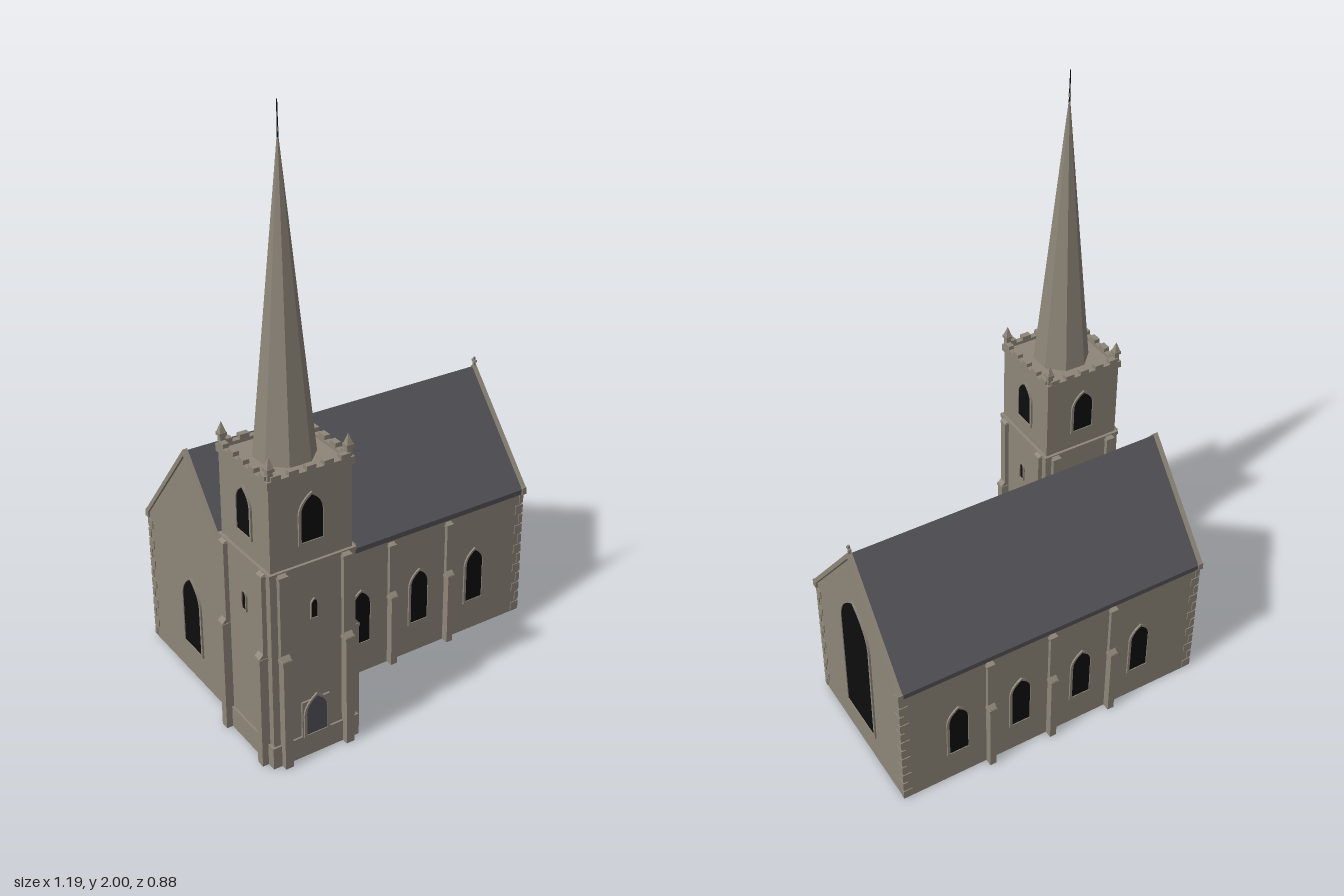
import * as THREE from 'three';

const material = (name, color) => {
  const m = new THREE.MeshStandardMaterial({ color });
  m.name = name;
  return m;
};

export function createModel() {
  const stone = material('stone', 0x8e8679);
  const slate = material('slate', 0x535258);
  const glass = material('dark glass', 0x0d0d0e);
  const doorPaint = material('door grey', 0x50515a);

  const model = new THREE.Group();
  model.name = 'church';

  const add = (parent, name, geometry, mat, x = 0, y = 0, z = 0) => {
    const mesh = new THREE.Mesh(geometry, mat);
    mesh.name = name;
    mesh.position.set(x, y, z);
    parent.add(mesh);
    return mesh;
  };
  // Box given by its base height and top height
  const block = (parent, name, x, z, w, d, y0, y1, mat = stone) =>
    add(parent, name, new THREE.BoxGeometry(w, y1 - y0, d), mat, x, (y0 + y1) / 2, z);
  const group = (parent, name, x = 0, z = 0, angle = 0) => {
    const g = new THREE.Group();
    g.name = name;
    g.position.set(x, 0, z);
    g.rotation.y = angle;
    parent.add(g);
    return g;
  };
  const extrude = (shape, depth) =>
    new THREE.ExtrudeGeometry(shape, { depth, bevelEnabled: false, curveSegments: 6 });
  const polygon = (points) => new THREE.Shape(points.map(([x, y]) => new THREE.Vector2(x, y)));
  // Faceted surface of revolution
  const faceted = (rTop, rBottom, h, sides) => {
    const g = new THREE.CylinderGeometry(rTop, rBottom, h, sides).rotateY(Math.PI / sides).toNonIndexed();
    g.computeVertexNormals();
    return g;
  };

  // Pointed arch outline, base at y0 and point at y1
  const arch = (w, y0, y1, PathType = THREE.Shape) => {
    const r = w / 2, spring = y1 - w * 0.72;
    const p = new PathType();
    p.moveTo(-r, y0);
    p.lineTo(r, y0);
    p.lineTo(r, spring);
    p.quadraticCurveTo(r * 0.95, spring + w * 0.42, 0, y1);
    p.quadraticCurveTo(-r * 0.95, spring + w * 0.42, -r, spring);
    p.closePath();
    return p;
  };
  // Arched opening with a thin stone surround, on a face pointing along +z
  const opening = (parent, name, x, z, w, y0, y1, mat = glass) => {
    add(parent, name, extrude(arch(w, y0, y1), 0.003), mat, x, 0, z);
    const rim = Math.min(0.009, w * 0.2);
    const frame = arch(w + rim * 2, y0 - rim, y1 + rim);
    frame.holes.push(arch(w, y0, y1, THREE.Path));
    add(parent, name + 'Surround', extrude(frame, 0.006), stone, x, 0, z);
  };
  // Two-stage buttress with sloping tops, standing out along +z
  const buttress = (parent, x, z, w, d1, h1, d2, h2) => {
    const side = polygon([[-0.01, 0], [d1, 0], [d1, h1], [d2, h1 + 0.014],
      [d2, h2], [-0.01, h2 + 0.012]]);
    const g = extrude(side, w).translate(0, 0, -w / 2).rotateY(-Math.PI / 2);
    add(parent, 'buttress', g, stone, x, 0, z);
    block(parent, 'buttressLedge', x, z + d1 / 2, w + 0.005, d1 + 0.003, h1 - 0.012, h1 - 0.002);
    block(parent, 'buttressCap', x, z + d2 / 2, w + 0.005, d2 + 0.003, h2 - 0.01, h2);
  };

  // ---- Nave ----
  const nave = group(model, 'nave', 0, -0.126);
  const half = 0.286, x0 = -0.547, x1 = 0.582;
  // Profile across the nave, run along x
  const along = (points, a, b) =>
    extrude(polygon(points), b - a).rotateY(Math.PI / 2).translate(a, 0, 0);
  add(nave, 'naveWalls', along([[-half, 0], [half, 0], [half, 0.48], [0, 0.82], [-half, 0.48]], x0, x1), stone);
  const chevron = (out, eave, ridge, t) => [[-out, eave], [-out, eave - t], [0, ridge - t],
    [out, eave - t], [out, eave], [0, ridge]];
  add(nave, 'roof', along(chevron(0.294, 0.489, 0.84, 0.018), -0.54, 0.576), slate);
  for (const [a, b] of [[-0.552, -0.536], [0.573, 0.589]]) {
    add(nave, 'gableCoping', along(chevron(0.296, 0.493, 0.846, 0.022), a, b), stone);
    for (const s of [-1, 1]) block(nave, 'kneeler', (a + b) / 2, s * 0.288, 0.018, 0.02, 0.47, 0.495);
  }
  // Gable cross
  block(nave, 'crossStem', 0.581, 0, 0.007, 0.007, 0.84, 0.873);
  block(nave, 'crossArm', 0.581, 0, 0.007, 0.022, 0.857, 0.864);

  // Corner stones, alternating long and short
  for (const x of [x0, x1]) for (const s of [-1, 1]) for (let i = 0; i < 12; i++) {
    const long = i % 2 ? 0.016 : 0.032, y = 0.005 + i * 0.039;
    block(nave, 'quoin', x - Math.sign(x) * (long / 2 - 0.003), s * (half - (0.048 - long) / 2 + 0.003),
      long, 0.048 - long, y, y + 0.032);
  }

  // Long walls
  const southWall = group(nave, 'frontWall');
  const northWall = group(nave, 'backWall', 0, 0, Math.PI);
  for (const x of [-0.085, 0.148, 0.38]) opening(southWall, 'naveWindow', x, half, 0.068, 0.12, 0.315);
  for (const x of [-0.318, -0.085, 0.148, 0.38]) opening(northWall, 'naveWindow', -x, half, 0.068, 0.12, 0.315);
  for (const x of [0.033, 0.265]) buttress(southWall, x, half, 0.024, 0.026, 0.265, 0.013, 0.455);
  for (const x of [-0.2, 0.033, 0.265]) buttress(northWall, -x, half, 0.024, 0.026, 0.265, 0.013, 0.455);

  // End windows
  opening(group(nave, 'eastWall', 0, 0, Math.PI / 2), 'eastWindow', 0, x1, 0.185, 0.115, 0.635);
  opening(group(nave, 'westWall', 0, 0, -Math.PI / 2), 'westWindow', 0, -x0, 0.11, 0.115, 0.375);

  // ---- Tower ----
  const tower = group(model, 'tower', -0.422, 0.265);
  block(tower, 'plinth', 0, 0, 0.308, 0.308, 0, 0.075);
  block(tower, 'lowerStage', 0, 0, 0.294, 0.294, 0, 0.67);
  block(tower, 'stringCourse', 0, 0, 0.299, 0.299, 0.668, 0.68);
  block(tower, 'belfry', 0, 0, 0.28, 0.28, 0.67, 0.968);
  block(tower, 'cornice', 0, 0, 0.292, 0.292, 0.955, 0.968);

  for (let f = 0; f < 4; f++) {
    const face = group(tower, 'towerFace', 0, 0, f * Math.PI / 2);
    opening(face, 'belfryWindow', 0, 0.14, 0.074, 0.75, 0.9);
    if (f !== 2) opening(face, 'slitWindow', 0, 0.147, 0.02, 0.49, 0.553);
    if (f === 0) opening(face, 'door', 0, 0.154, 0.074, 0.08, 0.213, doorPaint);
    for (const s of [-1, 1]) buttress(face, s * 0.11, 0.147, 0.028, 0.028, 0.39, 0.015, 0.67);
    // Battlements
    block(face, 'parapet', 0, 0.136, 0.292, 0.02, 0.966, 0.979);
    for (let i = -2; i <= 2; i++) block(face, 'merlon', i * 0.058, 0.136, 0.032, 0.02, 0.978, 0.993);
    // One corner pinnacle per face
    const pin = group(face, 'pinnacle', 0.132, 0.132);
    block(pin, 'pinnacleShaft', 0, 0, 0.017, 0.017, 0.97, 1.012);
    block(pin, 'pinnacleCollar', 0, 0, 0.025, 0.025, 1.008, 1.018);
    add(pin, 'pinnaclePoint', faceted(0, 0.015, 0.034, 4), stone, 0, 1.035, 0);
  }

  // Door is framed by a shallow porch panel flush with the plinth
  block(tower, 'doorPanel', 0, 0.149, 0.1, 0.01, 0.07, 0.2);

  // Spire and finial
  add(tower, 'spire', faceted(0.002, 0.095, 0.94, 8), stone, 0, 1.436, 0);
  add(tower, 'finialRod', faceted(0.0015, 0.003, 0.11, 6), glass, 0, 1.945, 0);
  add(tower, 'finialKnob', faceted(0.004, 0.004, 0.012, 6), stone, 0, 1.92, 0);

  return model;
}
